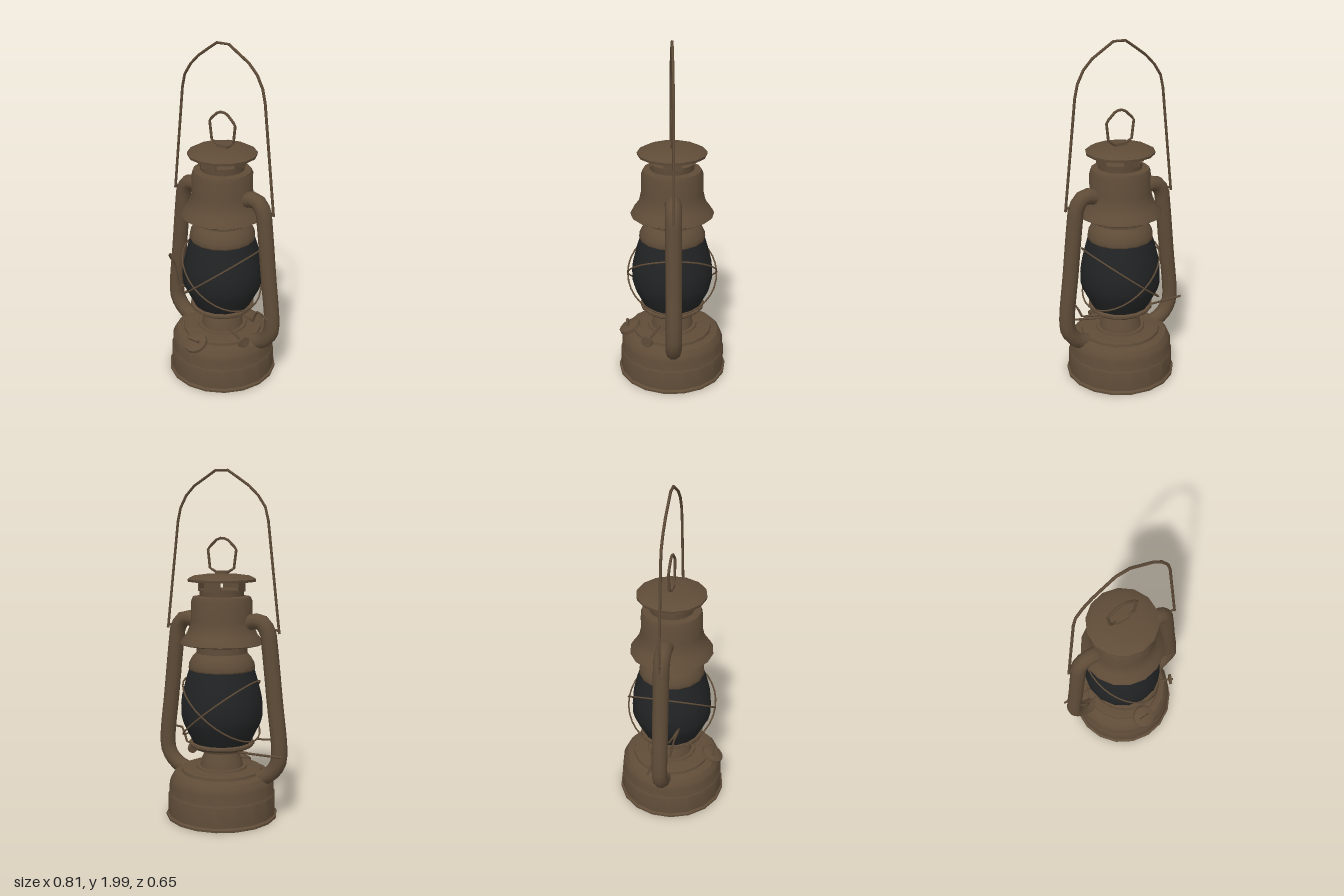
import * as THREE from 'three';
import { toCreasedNormals } from 'three/addons/utils/BufferGeometryUtils.js';

const bronze = new THREE.MeshStandardMaterial({ color: 0x5f4c38, side: THREE.DoubleSide });
bronze.name = 'aged bronze';
const smoked = new THREE.MeshStandardMaterial({ color: 0x222324, side: THREE.DoubleSide });
smoked.name = 'smoked glass';

export function createModel() {
  const model = new THREE.Group();
  model.name = 'lantern';

  const add = (name, geometry, material = bronze) => {
    const mesh = new THREE.Mesh(geometry, material);
    mesh.name = name;
    model.add(mesh);
    return mesh;
  };
  // Turned part from [radius, height] pairs, bottom to top
  const turned = (name, profile, sides, material) => {
    const points = profile.map(([r, y]) => new THREE.Vector2(r, y));
    return add(name, toCreasedNormals(new THREE.LatheGeometry(points, sides), 0.6), material);
  };
  // Round bar bent along straight pieces
  const bent = (name, points, radius, sides = 5, perPiece = 3) => {
    const path = new THREE.CurvePath();
    const v = points.map((p) => new THREE.Vector3(...p));
    for (let i = 1; i < v.length; i++) path.add(new THREE.LineCurve3(v[i - 1], v[i]));
    return add(name, new THREE.TubeGeometry(path, (v.length - 1) * perPiece, radius, sides));
  };
  // Round bar along a smooth curve
  const curved = (name, points, radius, steps, sides, closed = false) => {
    const path = new THREE.CatmullRomCurve3(points.map((p) => new THREE.Vector3(...p)), closed, 'centripetal');
    return add(name, new THREE.TubeGeometry(path, steps, radius, sides, closed));
  };

  // Fuel tank with bottom rim, side seam and stepped top
  turned('fuelTank', [[0, 0.02], [0.3, 0.012], [0.31, 0], [0.325, 0], [0.325, 0.012], [0.314, 0.02], [0.312, 0.135],
    [0.306, 0.145], [0.305, 0.2], [0.295, 0.23], [0.275, 0.255], [0.235, 0.265], [0.232, 0.28], [0.2, 0.285], [0, 0.285]], 18);

  // Burner and the plate holding the globe
  turned('burner', [[0.15, 0.28], [0.145, 0.295], [0.125, 0.295], [0.115, 0.34], [0.095, 0.38], [0.09, 0.4]], 16);
  turned('globePlate', [[0.09, 0.385], [0.13, 0.39], [0.135, 0.405], [0.175, 0.412], [0.19, 0.425],
    [0.19, 0.438], [0.165, 0.442], [0, 0.442]], 16);

  // Globe
  turned('globe', [[0.165, 0.43], [0.185, 0.47], [0.225, 0.55], [0.235, 0.59], [0.236, 0.66], [0.23, 0.71],
    [0.208, 0.8], [0.188, 0.865]], 16, smoked);

  // Collar above the globe, hood and vent neck
  turned('collar', [[0.186, 0.858], [0.192, 0.87], [0.188, 0.9], [0.17, 0.935], [0.147, 0.96], [0.145, 1.1]], 16);
  turned('hood', [[0.232, 1.01], [0.24, 1.015], [0.23, 1.035], [0.205, 1.065], [0.188, 1.1], [0.176, 1.15],
    [0.175, 1.255], [0.165, 1.28], [0.12, 1.285]], 16);
  turned('ventNeck', [[0.125, 1.28], [0.128, 1.322], [0.11, 1.322], [0, 1.322]], 16);

  // Four posts leave open vents under the cap
  for (let i = 0; i < 4; i++) {
    const post = add('ventPost', new THREE.BoxGeometry(0.1, 0.07, 0.008));
    const a = (i * Math.PI) / 2;
    post.position.set(Math.sin(a) * 0.122, 1.345, Math.cos(a) * 0.122);
    post.rotation.y = a;
  }
  turned('cap', [[0, 1.372], [0.13, 1.372], [0.195, 1.366], [0.197, 1.38], [0.165, 1.397], [0.1, 1.406], [0, 1.41]], 14);

  // Lifting ring on the cap
  add('ringClip', new THREE.BoxGeometry(0.075, 0.022, 0.022)).position.set(0, 1.415, 0);
  bent('liftingRing', [[-0.03, 1.415, 0], [-0.075, 1.44, 0], [-0.09, 1.55, 0], [-0.025, 1.608, 0], [0.025, 1.608, 0],
    [0.088, 1.55, 0], [0.075, 1.44, 0], [0.03, 1.415, 0]], 0.008);

  // Side air tubes and the hooks of the carrying handle
  for (const s of [1, -1]) {
    curved('airTube', [[0.14, 1.125], [0.2, 1.148], [0.25, 1.14], [0.284, 1.09], [0.295, 1.02], [0.33, 0.7],
      [0.36, 0.42], [0.352, 0.345], [0.3, 0.275], [0.18, 0.225]].map(([x, y]) => [s * x, y, 0]), 0.046, 30, 10);
    bent('handleHook', [[s * 0.355, 1.085, 0], [s * 0.35, 1.1, 0], [s * 0.31, 1.11, 0]], 0.007);
  }

  // Carrying handle
  bent('carryingHandle', [[-0.352, 1.085, 0], [-0.275, 1.76, 0], [-0.2, 1.87, 0], [-0.04, 1.98, 0], [0, 1.991, 0],
    [0.04, 1.983, 0], [0.2, 1.885, 0], [0.245, 1.82, 0], [0.275, 1.75, 0], [0.352, 1.085, 0]], 0.008);

  // Two tilted wire loops crossing in front of and behind the globe
  for (const s of [1, -1]) {
    const loop = [];
    for (let i = 0; i < 16; i++) {
      const t = (i * Math.PI) / 8;
      loop.push([0.212 * Math.cos(t), 0.635 + s * 0.17 * Math.cos(t), 0.262 * Math.sin(t)]);
    }
    curved('globeGuard', loop, 0.005, 32, 5, true);
  }

  // Globe lift wire with thumb lever, and the wire on the other side
  bent('liftWire', [[-0.4, 0.4, -0.06], [-0.2, 0.397, -0.05], [0.1, 0.393, -0.02], [0.245, 0.396, 0.03], [0.28, 0.48, 0.04],
    [0.315, 0.488, 0.05], [0.37, 0.46, 0.055]], 0.007);
  bent('leverLoop', [[-0.21, 0.465, 0.03], [-0.3, 0.465, 0.05], [-0.298, 0.6, 0.075], [-0.298, 0.67, 0.1], [-0.315, 0.7, 0.105],
    [-0.345, 0.66, 0.08], [-0.33, 0.6, 0.05]], 0.006);

  // Wick adjuster
  bent('wickShaft', [[0.06, 0.325, 0.06], [0.2, 0.325, 0.12], [0.29, 0.325, 0.16]], 0.007);
  const wickKnob = add('wickKnob', new THREE.CylinderGeometry(0.034, 0.034, 0.016, 10));
  wickKnob.position.set(0.272, 0.326, 0.152);
  wickKnob.rotation.set(0, -0.42, Math.PI / 2);

  // Filler neck and cap leaning out over the front shoulder
  const filler = new THREE.Group();
  filler.name = 'filler';
  filler.position.set(0, 0.25, 0.245);
  filler.rotation.x = 0.5;
  filler.add(
    turned('fillerNeck', [[0.05, -0.05], [0.045, 0.015]], 12),
    turned('fillerCap', [[0, 0.008], [0.06, 0.008], [0.07, 0.015], [0.068, 0.033], [0.045, 0.043], [0, 0.046]], 12),
  );
  const grip = new THREE.Mesh(new THREE.BoxGeometry(0.07, 0.025, 0.014), bronze);
  grip.name = 'fillerGrip';
  grip.position.y = 0.05;
  filler.add(grip);
  model.add(filler);

  return model;
}
